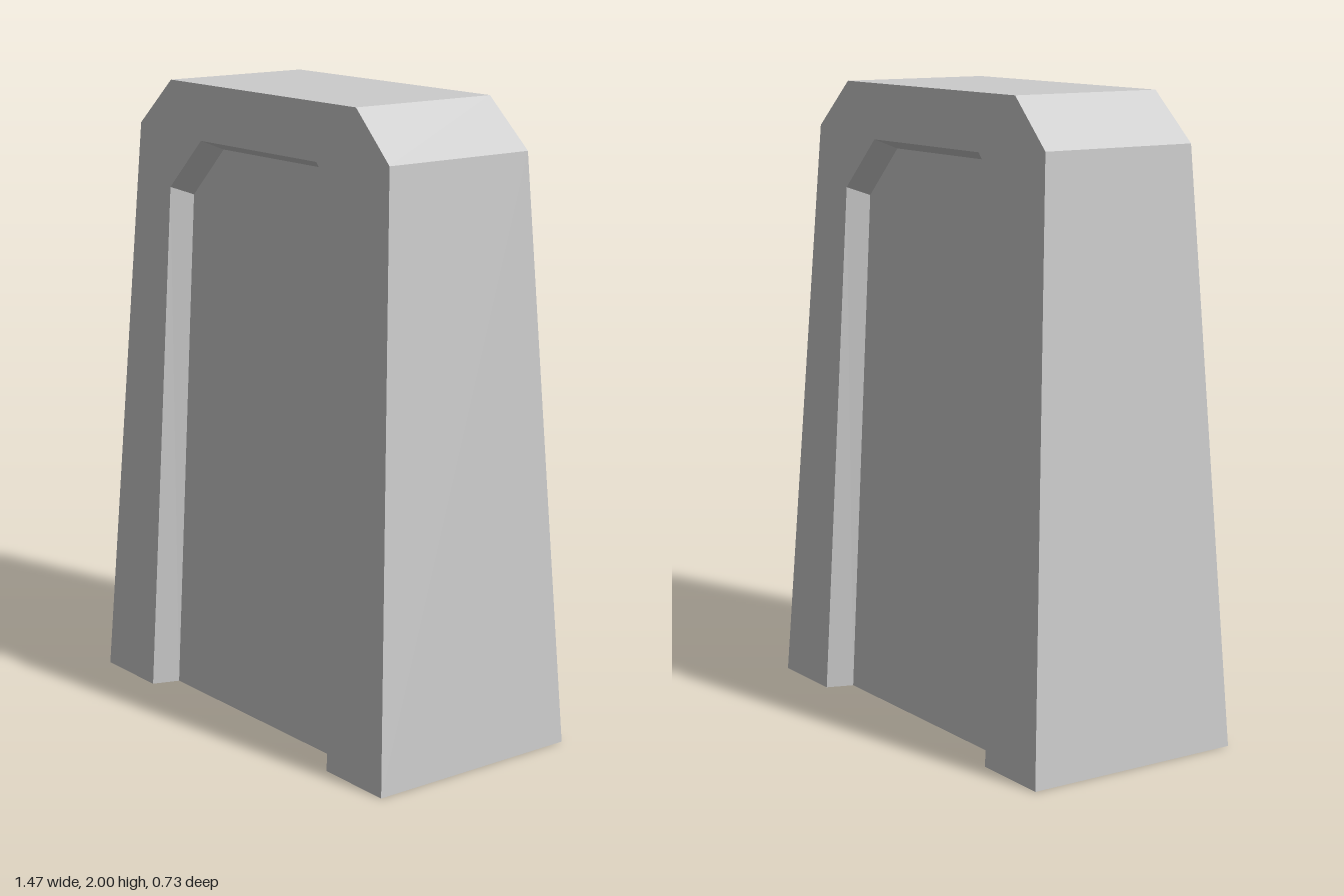
import * as THREE from 'three';

// Half outlines (x, y), from the bottom up on the +x side
const OUTER = [[0.735, 0], [0.633, 1.85], [0.47, 2]];
const RECESS = [[0.472, 0], [0.455, 1.662], [0.295, 1.825]];
const INNER = [[0.443, 0], [0.426, 1.635], [0.27, 1.795]];

// Depth of the tapering faces at height y
const frameZ = y => 0.363 - 0.054 * y;
const panelZ = y => 0.278 - 0.046 * y;

// Full arch outline, counterclockwise seen from the front
const arch = (half, depth) => [...half, ...half.map(([x, y]) => [-x, y]).reverse()]
  .map(([x, y]) => [x, y, depth(y)]);
const back = ([x, y, z]) => [x, y, -z];

// Mesh of convex polygons, each cut into a fan of triangles
function polyMesh(name, polys) {
  const pos = [];
  for (const p of polys)
    for (let i = 1; i < p.length - 1; i++) pos.push(...p[0], ...p[i], ...p[i + 1]);
  const geometry = new THREE.BufferGeometry();
  geometry.setAttribute('position', new THREE.Float32BufferAttribute(pos, 3));
  geometry.computeVertexNormals();
  const mesh = new THREE.Mesh(geometry, new THREE.MeshStandardMaterial({ color: 0xcccccc, flatShading: true }));
  mesh.name = name;
  return mesh;
}

// Quads joining two open outlines
const band = (a, b) => a.slice(1).map((p, i) => [a[i], p, b[i + 1], b[i]]);
// The same polygons on the back face
const mirrored = polys => polys.map(p => p.map(back).reverse());

export function createModel() {
  const group = new THREE.Group();
  group.name = 'archedBlock';
  const outer = arch(OUTER, frameZ), recess = arch(RECESS, frameZ), inner = arch(INNER, panelZ);

  // Sides, chamfers and top
  const sides = outer.slice(1).map((p, i) => [outer[i], back(outer[i]), back(p), p]);
  group.add(polyMesh('outerSides', sides));

  // Arched frame, bevelled recess edge and sunken panel on both faces
  const faces = { Frame: band(outer, recess), RecessEdge: band(recess, inner), Panel: [inner] };
  for (const [part, polys] of Object.entries(faces)) {
    group.add(polyMesh('front' + part, polys));
    group.add(polyMesh('back' + part, mirrored(polys)));
  }

  // Underside, following the notches of the recesses
  const stations = [outer[5], recess[5], inner[5], inner[0], recess[0], outer[0]];
  group.add(polyMesh('underside', stations.slice(1).map((b, i) => [stations[i], back(stations[i]), back(b), b])));
  return group;
}
